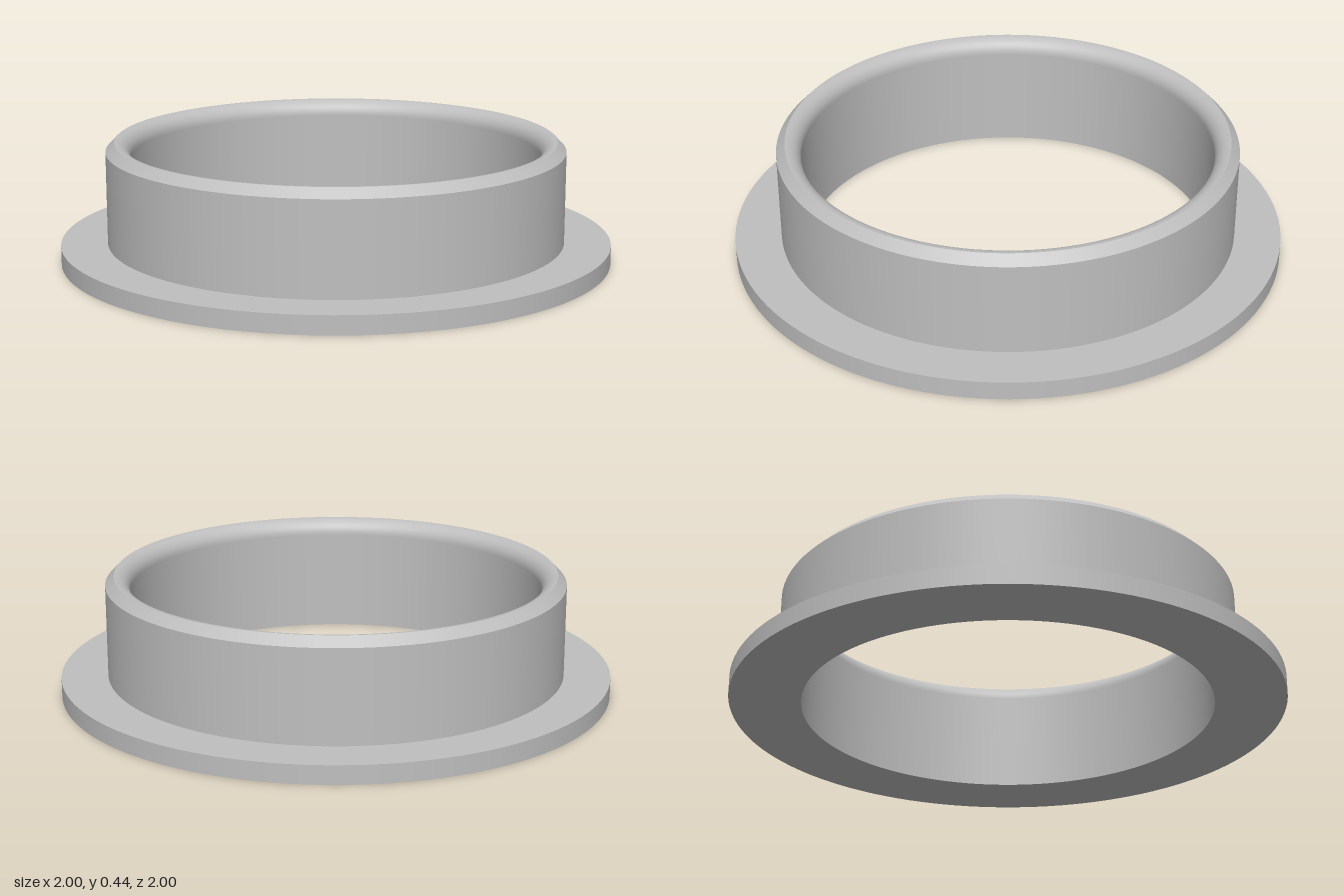
import * as THREE from 'three';
import { mergeGeometries } from 'three/addons/utils/BufferGeometryUtils.js';

const SEGMENTS = 128;
const BORE = 0.743, SLEEVE = 0.832, RIM = 0.8, FLANGE = 1;
const FLANGE_TOP = 0.067, CHAMFER_Y = 0.402, TOP = 0.435;

// Each profile run is smooth in itself; edges between runs stay sharp.
function turned(runs) {
  return mergeGeometries(runs.map((run) =>
    new THREE.LatheGeometry(run.map(([r, y]) => new THREE.Vector2(r, y)), SEGMENTS)));
}

export function createModel() {
  const group = new THREE.Group();
  group.name = 'flangedBushing';
  const metal = new THREE.MeshStandardMaterial({ color: 0xbfbfbf });
  metal.name = 'grey metal';

  const add = (name, runs) => {
    const mesh = new THREE.Mesh(turned(runs), metal);
    mesh.name = name;
    group.add(mesh);
  };

  // Flat flange: underside, edge and upper face
  add('flange', [
    [[BORE, 0], [FLANGE, 0]],
    [[FLANGE, 0], [FLANGE, FLANGE_TOP]],
    [[FLANGE, FLANGE_TOP], [SLEEVE, FLANGE_TOP]],
  ]);

  // Sleeve wall with a chamfered outer lip
  add('sleeve', [
    [[SLEEVE, FLANGE_TOP], [SLEEVE, CHAMFER_Y]],
    [[SLEEVE, CHAMFER_Y], [RIM, TOP]],
  ]);

  // Bore with a rounded lead-in at the top
  const radius = RIM - BORE;
  const bore = [];
  for (let i = 0; i <= 12; i++) {
    const a = (i / 12) * Math.PI / 2;
    bore.push([RIM - radius * Math.sin(a), TOP - radius + radius * Math.cos(a)]);
  }
  bore.push([BORE, TOP - radius - 0.002], [BORE, 0]);
  add('bore', [bore]);

  return group;
}
